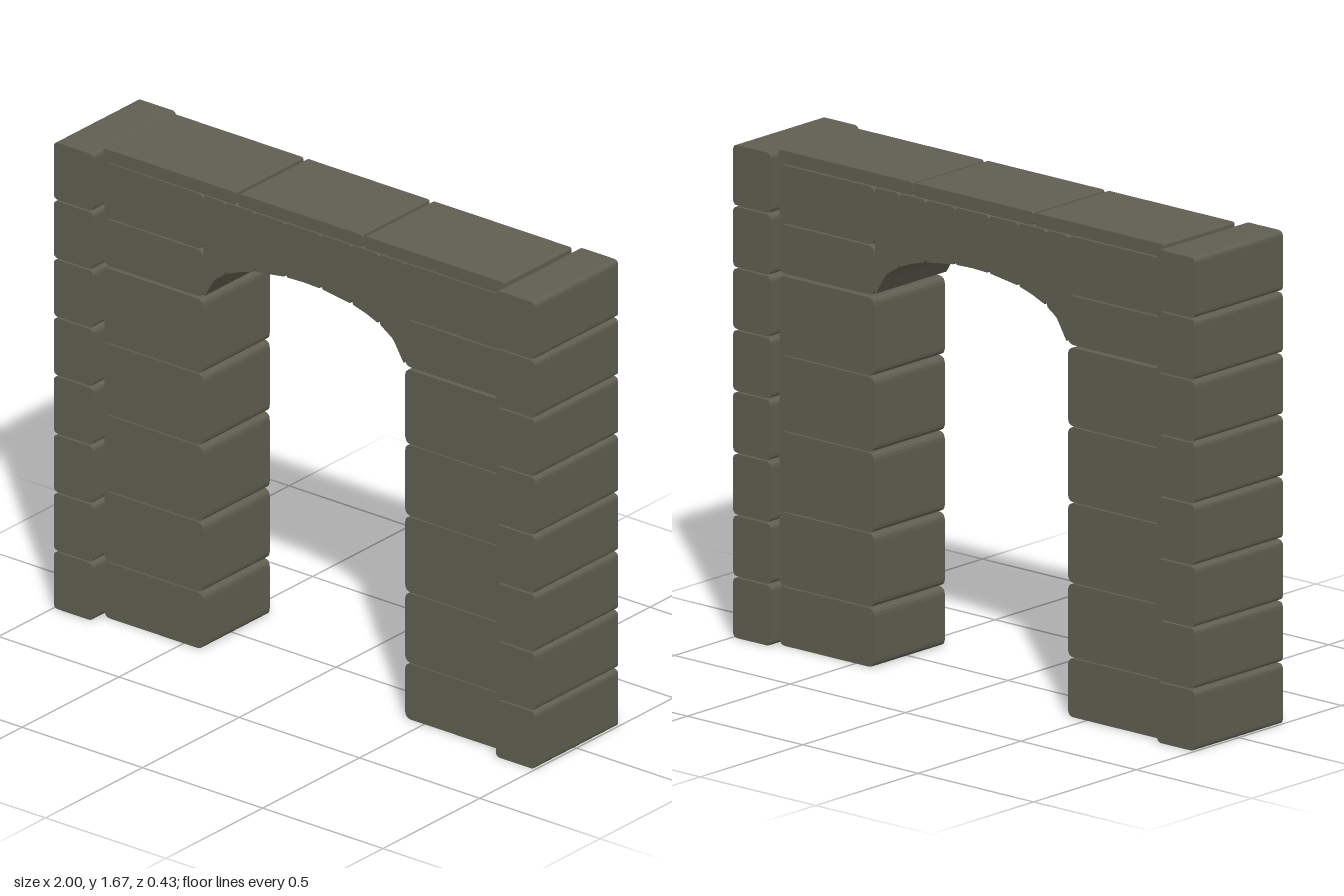
import * as THREE from 'three';

const stone = new THREE.MeshStandardMaterial({ color: 0x5f5e50 });
stone.name = 'grey stone';

// Extrude an outline from z0 to z1
function extrude(shape, z0, z1, name) {
  const geo = new THREE.ExtrudeGeometry(shape, { depth: z1 - z0, bevelEnabled: false, curveSegments: 4 });
  geo.translate(0, 0, z0);
  const mesh = new THREE.Mesh(geo, stone);
  mesh.name = name;
  return mesh;
}

// Block with its long edges rounded, running through the wall
function block(x0, x1, y0, y1, z0, z1, r, name) {
  const s = new THREE.Shape();
  s.moveTo(x0 + r, y0);
  s.lineTo(x1 - r, y0);
  s.quadraticCurveTo(x1, y0, x1, y0 + r);
  s.lineTo(x1, y1 - r);
  s.quadraticCurveTo(x1, y1, x1 - r, y1);
  s.lineTo(x0 + r, y1);
  s.quadraticCurveTo(x0, y1, x0, y1 - r);
  s.lineTo(x0, y0 + r);
  s.quadraticCurveTo(x0, y0, x0 + r, y0);
  return extrude(s, z0, z1, name);
}

const BACK = -0.18, FRONT = 0.165;

// Underside of the arch, half profile from crown to springing
const soffit = [[0, 1.43], [0.08, 1.427], [0.2, 1.41], [0.26, 1.393], [0.32, 1.368], [0.37, 1.335], [0.418, 1.255]];
function soffitY(x) {
  const a = Math.abs(x);
  for (let i = 1; i < soffit.length; i++) {
    const [xa, ya] = soffit[i - 1], [xb, yb] = soffit[i];
    if (a <= xb) return ya + (yb - ya) * (a - xa) / (xb - xa);
  }
  return 1.255;
}

export function createModel() {
  const model = new THREE.Group();
  model.name = 'stoneArchway';

  for (const side of [-1, 1]) {
    const label = side > 0 ? 'left' : 'right';
    const span = (a, b) => (side > 0 ? [a, b] : [-b, -a]);

    // Outer column of eight equal blocks
    const column = new THREE.Group();
    column.name = label + 'Column';
    for (let i = 0; i < 8; i++) {
      const y = i * 0.2084;
      column.add(block(...span(0.837, 1), y, y + 0.203, -0.215, 0.215, 0.018, 'columnBlock'));
    }
    model.add(column);

    // Pier courses and the two courses beside the arch
    const pier = new THREE.Group();
    pier.name = label + 'Pier';
    const courses = [[0, 0.198], [0.202, 0.449], [0.453, 0.721], [0.725, 0.977], [0.981, 1.245], [1.255, 1.42], [1.425, 1.62]];
    for (const [y0, y1] of courses) {
      pier.add(block(...span(0.42, 0.83), y0, y1, BACK, FRONT, 0.025, 'pierBlock'));
    }
    model.add(pier);
  }

  // Arch stones with upright joints
  const arch = new THREE.Group();
  arch.name = 'arch';
  const joints = [-0.42, -0.325, -0.205, -0.077, 0.07, 0.197, 0.312, 0.42];
  for (let i = 0; i < joints.length - 1; i++) {
    const x0 = joints[i] + 0.003, x1 = joints[i + 1] - 0.003, c = 0.008;
    const s = new THREE.Shape();
    s.moveTo(x0, soffitY(x0) + c);
    const n = 6;
    for (let k = 0; k <= n; k++) {
      const x = x0 + c / 2 + (x1 - x0 - c) * k / n;
      s.lineTo(x, soffitY(x));
    }
    s.lineTo(x1, soffitY(x1) + c);
    s.lineTo(x1, 1.62 - c);
    s.lineTo(x1 - c, 1.62);
    s.lineTo(x0 + c, 1.62);
    s.lineTo(x0, 1.62 - c);
    arch.add(extrude(s, BACK, FRONT, 'archStone'));
  }
  model.add(arch);

  // Three capping slabs
  const cap = new THREE.Group();
  cap.name = 'cap';
  for (const [x0, x1] of [[-0.832, -0.283], [-0.268, 0.242], [0.255, 0.832]]) {
    cap.add(block(x0, x1, 1.626, 1.67, BACK - 0.003, FRONT + 0.003, 0.008, 'capSlab'));
  }
  model.add(cap);

  return model;
}
